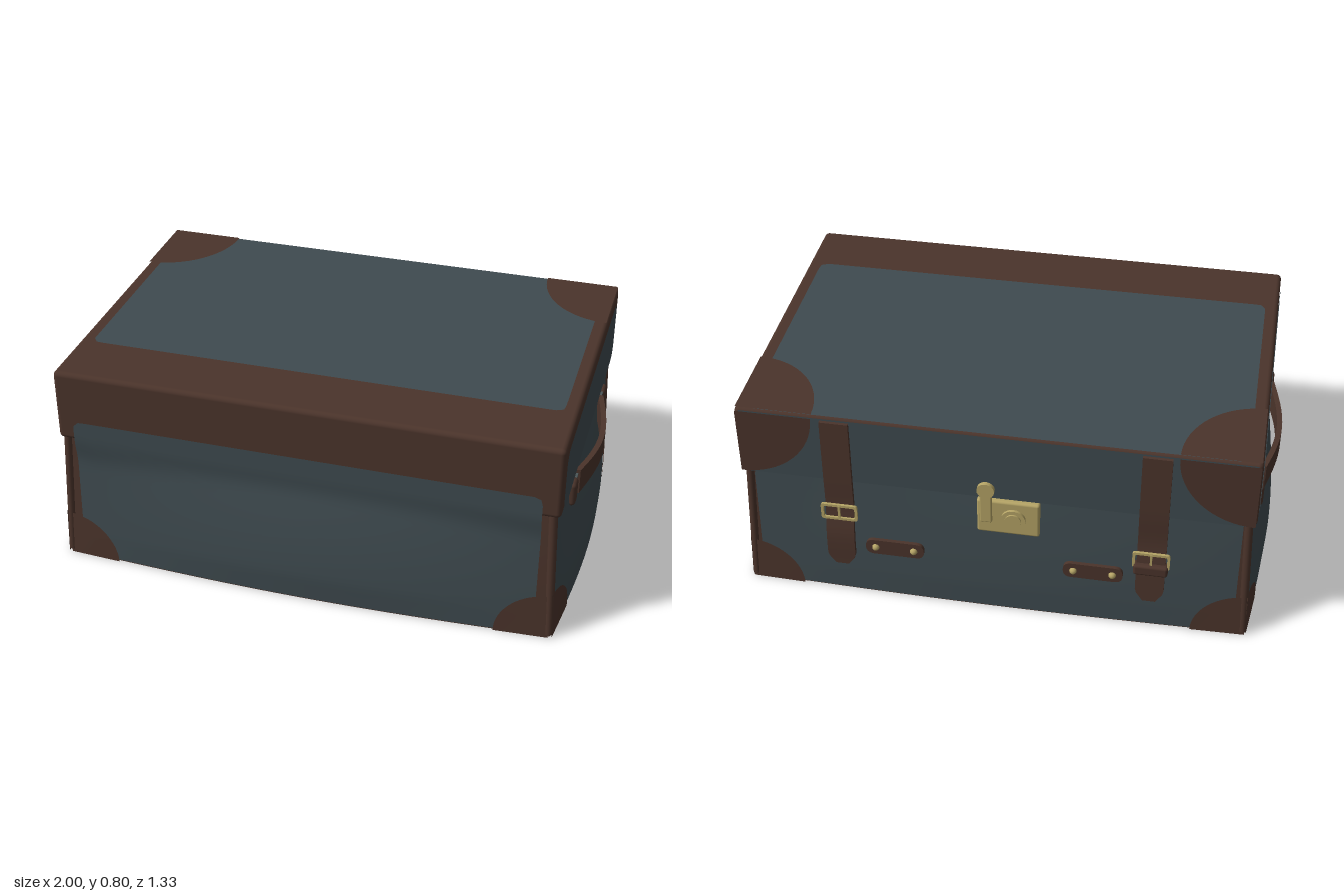
import * as THREE from 'three';
import { RoundedBoxGeometry } from 'three/addons/geometries/RoundedBoxGeometry.js';

const DS = THREE.DoubleSide;
const canvas = new THREE.MeshStandardMaterial({ color: 0x3f4b50, side: DS, name: 'canvas' });
const leather = new THREE.MeshStandardMaterial({ color: 0x4b342b, side: DS, name: 'leather' });
const brass = new THREE.MeshStandardMaterial({ color: 0xb5a466, name: 'brass' });
const steel = new THREE.MeshStandardMaterial({ color: 0x4c5658, name: 'steel' });

const H = 0.52; // body height
const { sin, cos, min, PI } = Math;

// Point on the bulging body; nx and nz run from -1 to 1, off lifts it outwards
function bodyPoint(nx, y, nz, off = 0) {
  const t = y / H;
  const h = sin(PI / 2 * min(1, (H - y) / 0.42)) * (y < 0.1 ? 0.8 + 2 * y : 1);
  const w = 0.935 - 0.02 * t + off + 0.055 * h * cos(nz * PI / 2);
  const d = 0.62 - 0.02 * t + off + (nz > 0 ? 0.045 : 0.02) * h * cos(nx * PI / 2);
  return [nx * w, y, nz * d];
}
const bodyW = y => 0.935 - 0.02 * y / H;
const bodyD = y => 0.62 - 0.02 * y / H;

function roundRect(x0, y0, x1, y1, r) {
  const s = new THREE.Shape();
  s.moveTo(x0 + r, y0).lineTo(x1 - r, y0).quadraticCurveTo(x1, y0, x1, y0 + r);
  s.lineTo(x1, y1 - r).quadraticCurveTo(x1, y1, x1 - r, y1);
  s.lineTo(x0 + r, y1).quadraticCurveTo(x0, y1, x0, y1 - r);
  s.lineTo(x0, y0 + r).quadraticCurveTo(x0, y0, x0 + r, y0);
  return s;
}

export function createModel() {
  const model = new THREE.Group();
  model.name = 'travelCase';

  function add(name, geo, mat, x = 0, y = 0, z = 0) {
    const m = new THREE.Mesh(geo, mat);
    m.name = name;
    m.position.set(x, y, z);
    model.add(m);
    return m;
  }

  // Thin covering: rings from a centre out to an outline, laid on a surface
  function skin(name, outline, cx, cy, map, mat, rings = 14) {
    const pos = [], idx = [], n = outline.length;
    for (let i = 0; i <= rings; i++) {
      for (const p of outline) {
        const u = i / rings;
        pos.push(...map(cx + (p.x - cx) * u, cy + (p.y - cy) * u));
      }
    }
    for (let i = 0; i < rings; i++) {
      for (let j = 0; j < n - 1; j++) {
        const a = i * n + j, b = a + n;
        if (i > 0) idx.push(a, b, a + 1);
        idx.push(a + 1, b, b + 1);
      }
    }
    const g = new THREE.BufferGeometry();
    g.setAttribute('position', new THREE.Float32BufferAttribute(pos, 3));
    g.setIndex(idx);
    g.computeVertexNormals();
    add(name, g, mat);
  }
  const panel = (name, x0, y0, x1, y1, r, map) =>
    skin(name, roundRect(x0, y0, x1, y1, r).getSpacedPoints(180), (x0 + x1) / 2, (y0 + y1) / 2, map, canvas);
  // Quarter-round corner guard, growing from (cx, cy) in directions sx, sy
  function guard(name, cx, cy, rx, ry, sx, sy, map) {
    const pts = [];
    for (let i = 0; i <= 16; i++) {
      const a = i / 16 * PI / 2;
      pts.push(new THREE.Vector2(cx + sx * rx * cos(a), cy + sy * ry * sin(a)));
    }
    skin(name, pts, cx, cy, map, leather, 6);
  }

  // Body shell, bulging towards the bottom
  const shell = new THREE.BoxGeometry(2, H, 2, 28, 16, 24);
  const sp = shell.attributes.position;
  for (let i = 0; i < sp.count; i++) {
    sp.setXYZ(i, ...bodyPoint(sp.getX(i), sp.getY(i) + H / 2, sp.getZ(i)));
  }
  shell.computeVertexNormals();
  add('body', shell, [leather, leather, leather, canvas, leather, leather]);

  // Lid
  add('lid', new RoundedBoxGeometry(1.88, 0.282, 1.235, 3, 0.018), leather, 0, 0.656, 0);
  panel('lidTopPanel', -0.89, -0.61, 0.89, 0.37, 0.03, (x, z) => [x, 0.799, z]);
  panel('lidBackPanel', -0.93, 0.518, 0.93, 0.792, 0.01, (x, y) => [x, y, -0.62]);

  // Front covering runs over the hinge from body to lid
  const front = off => (x, y) => {
    const k = THREE.MathUtils.clamp((y - 0.4) / 0.12, 0, 1);
    const p = bodyPoint(x / bodyW(min(y, H)), min(y, H), 1, off);
    return [x, y, THREE.MathUtils.lerp(p[2], 0.618 + off, k * k * (3 - 2 * k))];
  };
  const back = off => (x, y) => bodyPoint(x / bodyW(y), y, -1, off);
  panel('frontPanel', -0.875, 0.006, 0.875, 0.597, 0.03, front(0.004));
  panel('backPanel', -0.89, 0.006, 0.89, 0.515, 0.01, back(0.004));

  for (const s of [-1, 1]) {
    // Side coverings and corner guards
    const side = off => (z, y) => bodyPoint(s, y, z / bodyD(y), off);
    panel('sidePanel', -0.58, 0.006, 0.58, 0.515, 0.01, side(0.004));
    panel('lidSidePanel', -0.57, 0.518, 0.585, 0.762, 0.06, (z, y) => [s * 0.943, y, z]);
    guard('lidTopGuard', s * 0.935, -0.612, 0.28, 0.31, -s, 1, (x, z) => [x, 0.802, z]);
    guard('lidBackGuard', s * 0.935, 0.79, 0.28, 0.27, -s, -1, (x, y) => [x, y, -0.624]);
    guard('frontGuard', s * 0.93, 0, 0.2, 0.18, -s, 1, front(0.008));
    guard('backGuard', s * 0.93, 0, 0.2, 0.18, -s, 1, back(0.008));
    for (const t of [-1, 1]) {
      guard('sideGuard', t * 0.618, 0, 0.2, 0.19, -t, 1, side(0.008));
      // Rounded corner welt
      const line = new THREE.LineCurve3(
        new THREE.Vector3(...bodyPoint(s, 0.012, t, -0.004)), new THREE.Vector3(...bodyPoint(s, H, t, -0.004)));
      add('cornerWelt', new THREE.TubeGeometry(line, 1, 0.016, 10), leather);
    }

    // Arched carrying handle
    const grip = new THREE.BoxGeometry(0.02, 0.1, 0.54, 1, 2, 20);
    const gp = grip.attributes.position;
    for (let i = 0; i < gp.count; i++) {
      const z = gp.getZ(i), c = cos(z / 0.27 * PI / 2), y = gp.getY(i);
      gp.setXYZ(i, s * (0.945 + 0.045 * c) + gp.getX(i), y * (1 - 0.18 * c) - 0.003 * c, z);
    }
    grip.computeVertexNormals();
    add('handleGrip', grip, leather, 0, 0.457, 0.01);
    for (const t of [-1, 1]) {
      add('handleTab', new RoundedBoxGeometry(0.035, 0.096, 0.062, 3, 0.015), leather, s * 0.937, 0.452, t * 0.34);
      for (const y of [0.418, 0.488]) {
        add('handleRing', new THREE.BoxGeometry(0.014, 0.01, 0.06), steel, s * 0.94, y, t * 0.295);
      }
    }
  }

  // Straps: ribbons that follow [y, z] points and taper at the tip
  function strap(name, x, width, path) {
    const curve = new THREE.CatmullRomCurve3(path.map(([y, z]) => new THREE.Vector3(0, y, z)));
    const g = new THREE.BoxGeometry(width, 1, 0.014, 2, 40, 1);
    const p = g.attributes.position;
    for (let i = 0; i < p.count; i++) {
      const u = 0.5 - p.getY(i), c = curve.getPoint(u);
      const taper = u > 0.94 ? 1 - (u - 0.94) * 9 : 1;
      p.setXYZ(i, p.getX(i) * taper, c.y, c.z + p.getZ(i));
    }
    g.computeVertexNormals();
    add(name, g, leather, x);
  }
  strap('leftStrap', 0.57, 0.105, [[0.785, -0.625], [0.65, -0.628], [0.52, -0.63], [0.4, -0.632], [0.28, -0.652], [0.15, -0.655]]);
  strap('rightStrap', -0.58, 0.105, [[0.785, -0.625], [0.65, -0.628], [0.52, -0.63], [0.4, -0.628], [0.28, -0.642], [0.14, -0.65]]);
  add('rightKeeper', new RoundedBoxGeometry(0.125, 0.045, 0.04, 2, 0.01), leather, -0.58, 0.29, -0.645);

  // Buckle frames with a prong
  const frame = roundRect(-0.068, -0.035, 0.068, 0.035, 0.012);
  frame.holes.push(roundRect(-0.058, -0.025, 0.058, 0.025, 0.008));
  const frameGeo = new THREE.ExtrudeGeometry(frame, { depth: 0.01, bevelEnabled: false });
  for (const [x, y] of [[0.57, 0.39], [-0.58, 0.33]]) {
    add('buckle', frameGeo, brass, x, y, -0.652);
    add('prong', new THREE.BoxGeometry(0.008, 0.06, 0.008), brass, x, y, -0.65);
  }

  // Lock plate, dial and hasp
  add('lockPlate', new RoundedBoxGeometry(0.23, 0.15, 0.034, 2, 0.01), brass, -0.055, 0.435, -0.612);
  const round = (name, r, d, x, y, z) => {
    add(name, new THREE.CylinderGeometry(r, r, d, 24), brass, x, y, z).rotation.x = PI / 2;
  };
  round('lockDial', 0.045, 0.014, -0.075, 0.435, -0.632);
  round('lockButton', 0.03, 0.01, -0.075, 0.435, -0.64);
  add('hasp', new RoundedBoxGeometry(0.045, 0.15, 0.016, 2, 0.006), brass, 0.025, 0.49, -0.632);
  round('haspKnob', 0.032, 0.016, 0.025, 0.56, -0.632);

  // Studded leather tabs
  const tab = new THREE.ExtrudeGeometry(roundRect(-0.11, -0.033, 0.11, 0.033, 0.032), { depth: 0.014, bevelEnabled: false });
  for (const x of [-0.37, 0.37]) {
    add('studTab', tab, leather, x, 0.235, -0.645);
    for (const t of [-1, 1]) {
      add('stud', new THREE.SphereGeometry(0.014, 12, 8), brass, x + t * 0.072, 0.235, -0.645);
    }
  }
  return model;
}
